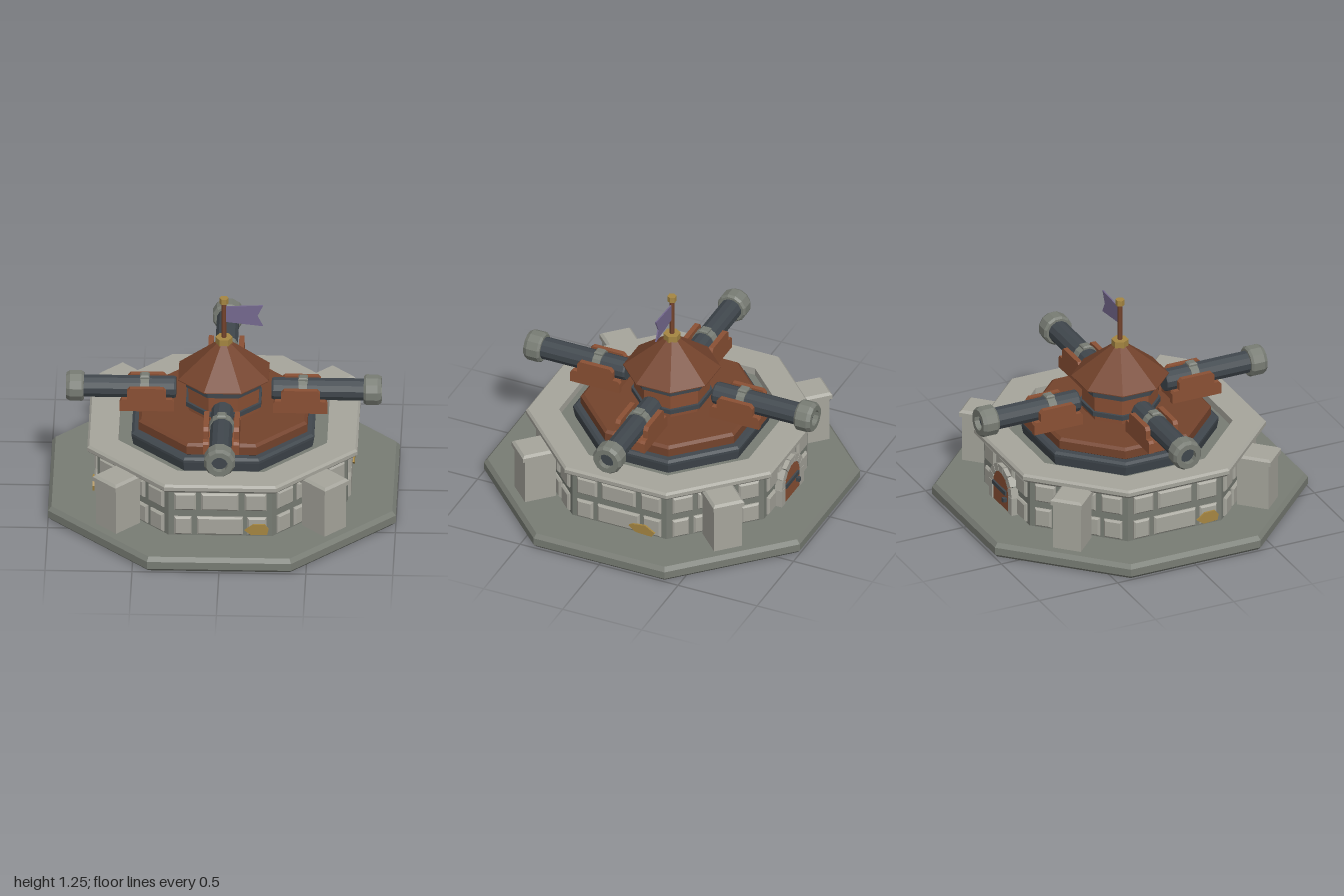
import * as THREE from 'three';

const paint = (name, hex) => {
  const m = new THREE.MeshStandardMaterial({ color: hex });
  m.name = name;
  return m;
};

export function createModel() {
  const stone = paint('pale stone', 0xa6a59c);
  const slate = paint('grey stone', 0x787c74);
  const iron = paint('dark iron', 0x40474d);
  const wood = paint('dark wood', 0x74432c);
  const plank = paint('light wood', 0x8a5034);
  const brass = paint('brass', 0xa58642);
  const cloth = paint('purple cloth', 0x75698f);
  cloth.side = THREE.DoubleSide;

  const model = new THREE.Group();
  model.name = 'cannonTower';

  // Adds a faceted mesh to a parent
  const add = (parent, name, geometry, material, x = 0, y = 0, z = 0) => {
    const g = geometry.index ? geometry.toNonIndexed() : geometry;
    g.computeVertexNormals();
    const mesh = new THREE.Mesh(g, material);
    mesh.name = name;
    mesh.position.set(x, y, z);
    parent.add(mesh);
    return mesh;
  };
  const lathe = (points, sides, start = 0) =>
    new THREE.LatheGeometry(points.map(p => new THREE.Vector2(p[0], p[1])), sides, start);
  // Octagon with flat sides on the axes; radii are measured to the flats
  const octagon = points =>
    lathe(points.map(([r, y]) => [r / Math.cos(Math.PI / 8), y]), 8, Math.PI / 8);
  const plate = (points, depth) =>
    new THREE.ExtrudeGeometry(new THREE.Shape(points.map(p => new THREE.Vector2(p[0], p[1]))),
      { depth, bevelEnabled: false });
  // Box whose +z (or +y) face is inset to give a chamfer
  const chamferBox = (w, h, d, inset, axis = 'z') => {
    const g = new THREE.BoxGeometry(w, h, d, 1, axis === 'y' ? 2 : 1, axis === 'z' ? 2 : 1);
    const p = g.attributes.position;
    const size = { x: w, y: h, z: d };
    for (let i = 0; i < p.count; i++) {
      const v = { x: p.getX(i), y: p.getY(i), z: p.getZ(i) };
      if (Math.abs(v[axis]) < 1e-6) v[axis] = size[axis] / 2 - inset;
      else if (v[axis] > 0) {
        for (const k of ['x', 'y', 'z']) if (k !== axis) v[k] -= Math.sign(v[k]) * inset;
      }
      p.setXYZ(i, v.x, v.y, v.z);
    }
    return g;
  };
  // Group turned to one of the eight sides, with +z pointing outward
  const side = (name, i) => {
    const g = new THREE.Group();
    g.name = name;
    g.rotation.y = i * Math.PI / 4;
    model.add(g);
    return g;
  };

  // Foundation, wall core, rim and sunken floor
  add(model, 'foundation', octagon([[0, 0], [0.98, 0], [1, 0.02], [1, 0.065], [0.98, 0.09], [0, 0.09]]), slate);
  add(model, 'wallCore', octagon([[0.72, 0.08], [0.72, 0.4], [0, 0.4]]), slate);
  add(model, 'rim', octagon([[0.6, 0.39], [0.755, 0.39], [0.777, 0.41], [0.777, 0.432],
    [0.765, 0.445], [0.6, 0.445], [0.6, 0.39]]), stone);

  // Stone blocks on every side
  const rows = [
    { y: 0.158, h: 0.115, spans: [[-0.265, -0.165], [-0.135, 0.13], [0.155, 0.265]] },
    { y: 0.315, h: 0.11, spans: [[-0.265, -0.14], [-0.11, 0.105], [0.14, 0.265]] },
  ];
  for (let i = 0; i < 8; i++) {
    const wall = side('wallBlocks', i);
    for (const { y, h, spans } of rows) {
      for (const [a, b] of spans) {
        add(wall, 'stoneBlock', chamferBox(b - a, h, 0.04, 0.01), stone, (a + b) / 2, y, 0.718);
      }
    }
  }

  // Corner posts on the diagonals
  for (const i of [1, 3, 5, 7]) {
    const post = side('buttress', i);
    add(post, 'buttressBody', new THREE.BoxGeometry(0.17, 0.3, 0.19), stone, 0, 0.235, 0.837);
    add(post, 'buttressCap', chamferBox(0.19, 0.04, 0.21, 0.014, 'y'), stone, 0, 0.392, 0.843);
  }

  // Brass patches on the front, right and left
  const patch = [[-0.07, 0.14], [-0.03, 0.11], [0.06, 0.115], [0.068, 0.15], [0.045, 0.18], [-0.02, 0.178]];
  const rightPatch = [[-0.085, 0.14], [-0.04, 0.105], [0.06, 0.1], [0.08, 0.128], [0.02, 0.165], [-0.06, 0.155]];
  for (const [i, x, outline] of [[0, 0.21, patch], [2, 0.155, rightPatch], [6, 0.2, patch]]) {
    add(side('brassPatch', i), 'patch', plate(outline, 0.012), brass, x, 0, 0.737);
  }

  // Arched door at the back
  const door = side('door', 4);
  const arch = (r, yc) => {
    const pts = [[-r, 0.09], [r, 0.09]];
    for (let k = 0; k <= 10; k++) {
      const a = k * Math.PI / 10;
      pts.push([r * Math.cos(a), yc + r * Math.sin(a)]);
    }
    return pts;
  };
  add(door, 'doorBacking', plate(arch(0.14, 0.2), 0.03), slate, 0, 0, 0.715);
  add(door, 'doorLeaf', plate(arch(0.102, 0.2), 0.04), plank, 0, 0, 0.72);
  for (let k = 0; k < 7; k++) {
    const a0 = k * Math.PI / 7 + 0.02, a1 = (k + 1) * Math.PI / 7 - 0.02;
    const at = (r, a) => [r * Math.cos(a), 0.2 + r * Math.sin(a)];
    add(door, 'archStone', plate([at(0.104, a0), at(0.15, a0), at(0.15, a1), at(0.104, a1)], 0.045), stone, 0, 0, 0.72);
  }
  for (const s of [-1, 1]) {
    add(door, 'doorJamb', new THREE.BoxGeometry(0.045, 0.11, 0.045), stone, s * 0.127, 0.145, 0.743);
  }
  add(door, 'doorStrap', new THREE.BoxGeometry(0.17, 0.026, 0.012), iron, -0.01, 0.2, 0.765);
  add(door, 'doorKnob', new THREE.BoxGeometry(0.024, 0.024, 0.025), iron, 0.065, 0.158, 0.77);

  // Turntable
  add(model, 'turntableRing', octagon([[0.515, 0.4], [0.525, 0.455], [0.525, 0.47], [0.51, 0.483], [0, 0.483]]), iron);
  add(model, 'turntable', octagon([[0.47, 0.48], [0.485, 0.49], [0.485, 0.54], [0.468, 0.555], [0, 0.555]]), wood);

  // Turret drum, bands and roof
  add(model, 'drum', octagon([[0.2, 0.55], [0.205, 0.75], [0.19, 0.77]]), plank);
  for (const y of [0.585, 0.71]) {
    add(model, 'drumBand', octagon([[0.19, y], [0.216, y], [0.216, y + 0.028], [0.19, y + 0.028]]), iron);
  }
  add(model, 'roof', octagon([[0, 0.762], [0.26, 0.762], [0.26, 0.767], [0.04, 0.96], [0, 0.96]]), wood);

  // Flagpole with pennant
  const hex = (r, y0, y1) => lathe([[0, y0], [r, y0], [r, y1], [0, y1]], 6, Math.PI / 6);
  add(model, 'poleCollar', hex(0.05, 0.955, 0.995), brass);
  add(model, 'pole', hex(0.015, 0.99, 1.225), wood);
  add(model, 'poleCap', hex(0.027, 1.217, 1.252), brass);
  add(model, 'flag', plate([[0.01, 1.095], [0.225, 1.07], [0.192, 1.135], [0.225, 1.205], [0.01, 1.195]], 0.008),
    cloth, 0, 0, -0.004);

  // Four cannons on stepped carriages
  const cheek = [[0.285, 0.553], [0.597, 0.553], [0.597, 0.615], [0.585, 0.63], [0.555, 0.63], [0.555, 0.68],
    [0.538, 0.7], [0.348, 0.7], [0.33, 0.68], [0.33, 0.63], [0.297, 0.63], [0.285, 0.615]];
  const alongZ = points => lathe(points, 12, Math.PI / 12).rotateX(Math.PI / 2);
  for (const i of [0, 2, 4, 6]) {
    const cannon = side('cannon', i);
    const y = 0.66;
    add(cannon, 'barrel', alongZ([[0, 0.275], [0.06, 0.275], [0.066, 0.285], [0.066, 0.875], [0, 0.875]]), iron, 0, y);
    add(cannon, 'muzzle', alongZ([[0.06, 0.805], [0.08, 0.805], [0.091, 0.818], [0.091, 0.885],
      [0.078, 0.907], [0.047, 0.907], [0.047, 0.87]]), slate, 0, y);
    add(cannon, 'barrelBand', alongZ([[0.06, 0.43], [0.072, 0.43], [0.072, 0.48], [0.06, 0.48]]), slate, 0, y);
    add(cannon, 'bandLug', chamferBox(0.055, 0.035, 0.055, 0.008, 'y'), slate, 0, 0.725, 0.455);
    for (const s of [-1, 1]) {
      add(cannon, 'carriageCheek', plate(cheek, 0.03).rotateY(-Math.PI / 2), plank, s * 0.088 + 0.015);
    }
    add(cannon, 'carriageBed', new THREE.BoxGeometry(0.15, 0.06, 0.29), plank, 0, 0.583, 0.445);
  }
  return model;
}
